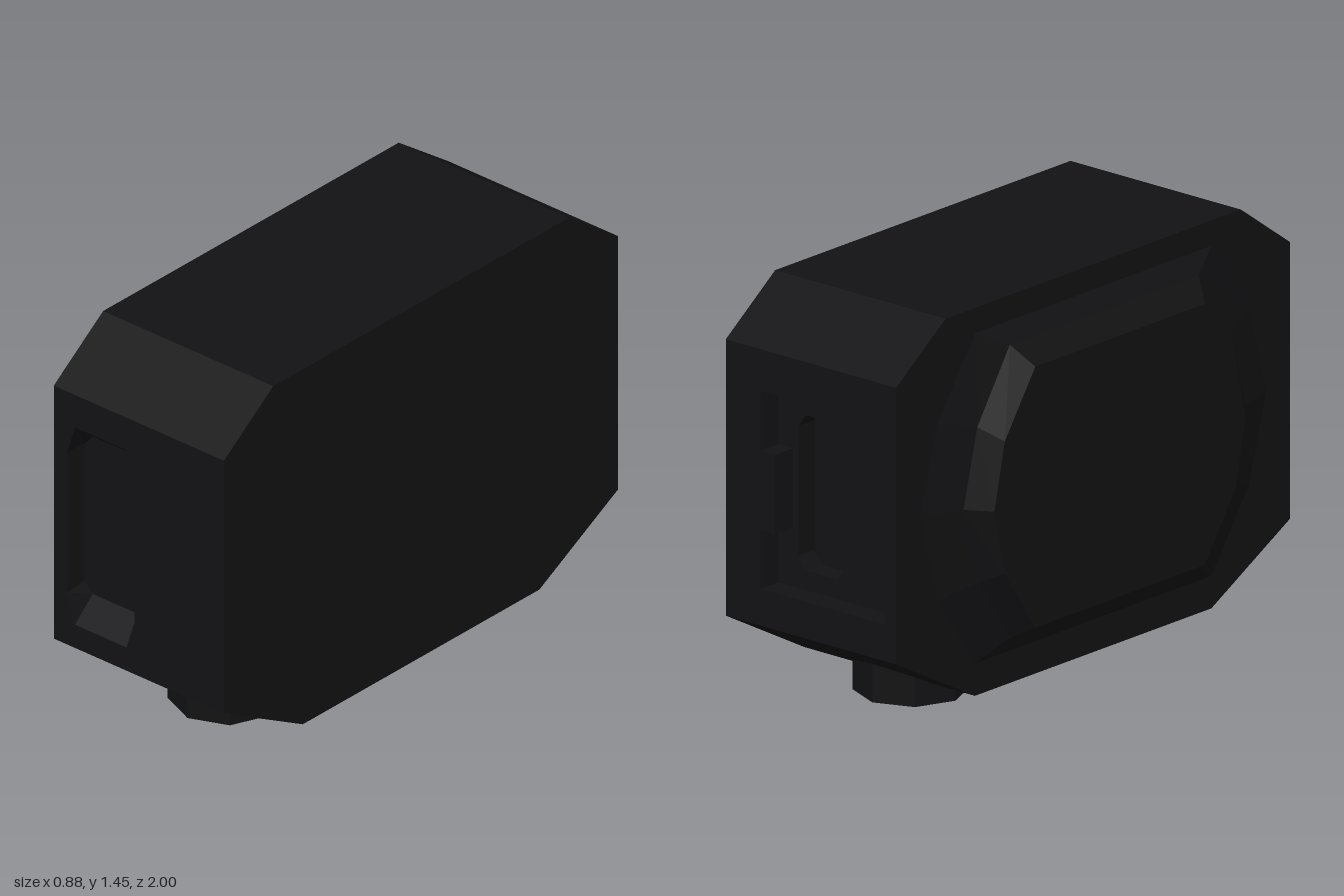
import * as THREE from 'three';

const material = new THREE.MeshStandardMaterial({ color: 0x121214, flatShading: true });

function mesh(name, geometry) {
  const m = new THREE.Mesh(geometry, material);
  m.name = name;
  return m;
}

// Joins rings of points with quads; the last ring can be closed.
// Rings run counter-clockwise as seen from outside the surface.
function loft(rings, { cap = true, skip = [] } = {}) {
  const out = [];
  const tri = (a, b, c) => out.push(...a, ...b, ...c);
  for (let r = 0; r < rings.length - 1; r++) {
    const a = rings[r], b = rings[r + 1];
    a.forEach((_, i) => {
      if (skip.includes(i)) return;
      const j = (i + 1) % a.length;
      tri(a[i], a[j], b[j]);
      tri(a[i], b[j], b[i]);
    });
  }
  if (cap) {
    const e = rings[rings.length - 1];
    for (let i = 1; i < e.length - 1; i++) tri(e[0], e[i], e[i + 1]);
  }
  const g = new THREE.BufferGeometry();
  g.setAttribute('position', new THREE.Float32BufferAttribute(out, 3));
  g.computeVertexNormals();
  return g;
}

const atX = (pts, x) => pts.map(([z, y]) => [x, y, z]);
const atZ = (pts, z) => pts.map(([x, y]) => [x, y, z]);

// Flat panel facing +z with one hole
function panel(outline, hole, z) {
  const v = (pts) => pts.map(([x, y]) => new THREE.Vector2(x, y));
  const shape = new THREE.Shape(v(outline));
  shape.holes.push(new THREE.Path(v(hole)));
  return new THREE.ShapeGeometry(shape).translate(0, 0, z);
}

// Rectangle with cut corners, counter-clockwise
function cutRect(x0, x1, y0, y1, cx, cy) {
  return [
    [x0 + cx, y0], [x1 - cx, y0], [x1, y0 + cy], [x1, y1 - cy],
    [x1 - cx, y1], [x0 + cx, y1], [x0, y1 - cy], [x0, y0 + cy],
  ];
}

// Half of an oval is given from bottom to top and mirrored in z
function oval(half) {
  return [...half, ...half.map(([z, y]) => [-z, y]).reverse()];
}

export function createModel() {
  const model = new THREE.Group();
  model.name = 'housing';
  const L = 0.44, R = -0.32, BOTTOM = 0.29, TOP = 1.27;

  // Main shell: eight-sided profile, with both ends left open for the pocketed panels
  const profile = [
    [-0.6, 0.075], [0.6, 0.075], [1, BOTTOM], [1, TOP],
    [0.75, 1.45], [-0.75, 1.45], [-1, TOP], [-1, BOTTOM],
  ];
  model.add(mesh('shell', loft([atX(profile, L), atX(profile, R)], { skip: [2, 6] })));
  model.add(mesh('flatSide', loft([atX([...profile].reverse(), L)])));

  // Stepped oval bulge on one side
  const base = oval([[0.6, 0.19], [0.79, 0.46], [0.88, 0.775], [0.79, 1.09], [0.6, 1.36]]);
  const middle = oval([[0.48, 0.26], [0.645, 0.5], [0.715, 0.775], [0.645, 1.05], [0.48, 1.3]]);
  const plateau = oval([[0.43, 0.3], [0.585, 0.53], [0.638, 0.765], [0.585, 1.0], [0.43, 1.225]]);
  model.add(mesh('sideBulge', loft([atX(base, R), atX(middle, -0.37), atX(plateau, L * -1)])));

  // Front end with a long pocket sloping in at top and bottom
  const rim = cutRect(-0.26, 0.04, 0.38, 1.145, 0.035, 0.11);
  const floor = cutRect(-0.26, 0.04, 0.46, 1.07, 0.035, 0.04);
  const frontEnd = new THREE.Group();
  frontEnd.name = 'frontEnd';
  frontEnd.add(
    mesh('frontPanel', panel([[R, BOTTOM], [L, BOTTOM], [L, TOP], [R, TOP]], rim, 1)),
    mesh('frontPocket', loft([atZ(rim, 1), atZ(floor, 0.91)])),
  );
  model.add(frontEnd);

  // Back end, built facing +z and turned around: a pocket with a side tab and an inner slot
  const pocket = [
    [-0.285, 0.42], [0.27, 0.42], [0.27, 1.12], [-0.285, 1.12],
    [-0.285, 0.91], [-0.22, 0.91], [-0.22, 0.63], [-0.285, 0.63],
  ];
  const slot = cutRect(-0.195, 0.015, 0.49, 1.04, 0.035, 0.045);
  const backEnd = new THREE.Group();
  backEnd.name = 'backEnd';
  backEnd.add(
    mesh('backPanel', panel([[-L, BOTTOM], [-R, BOTTOM], [-R, TOP], [-L, TOP]], pocket, 1)),
    mesh('backPocketWalls', loft([atZ(pocket, 1), atZ(pocket, 0.91)], { cap: false })),
    mesh('backPocketFloor', panel(pocket, slot, 0.91)),
    mesh('backSlot', loft([atZ(slot, 0.91), atZ(slot, 0.83)])),
  );
  backEnd.rotation.y = Math.PI;
  model.add(backEnd);

  // Eight-sided feet with a blind hole underneath
  const footProfile = [[0, 0.05], [0.07, 0.05], [0.08, 0], [0.197, 0], [0.197, 0.18]]
    .map(([r, y]) => new THREE.Vector2(r, y));
  for (const [name, z] of [['frontFoot', 0.53], ['backFoot', -0.517]]) {
    const foot = mesh(name, new THREE.LatheGeometry(footProfile, 8));
    foot.position.set(0.037, 0, z);
    model.add(foot);
  }
  return model;
}
